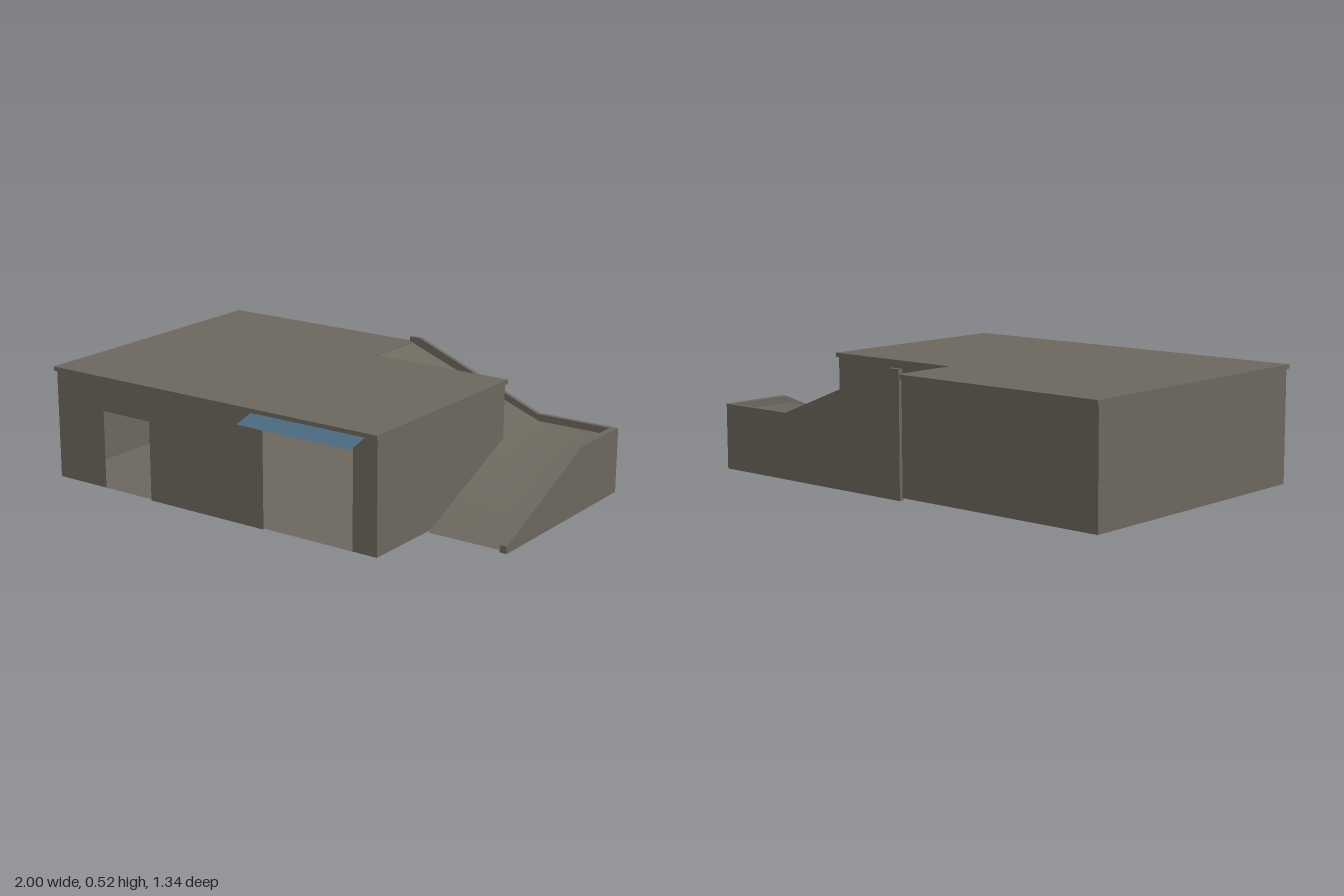
import * as THREE from 'three';

const H = 0.485, BASE = 0.01;

function shapeOf(points) {
  return new THREE.Shape(points.map(([x, y]) => new THREE.Vector2(x, y)));
}

// L-shaped plan with the back corner cut out for the ramp, as [x, z]
function plan(left, right, front, notchZ, notchX, back) {
  return [[left, front], [right, front], [right, notchZ], [notchX, notchZ], [notchX, back], [left, back]];
}

function quadGrid(vertices, index) {
  const geo = new THREE.BufferGeometry();
  geo.setAttribute('position', new THREE.Float32BufferAttribute(vertices.flat(), 3));
  geo.setIndex(index);
  geo.computeVertexNormals();
  return geo;
}

export function createModel() {
  const group = new THREE.Group();
  const concrete = new THREE.MeshStandardMaterial({ color: 0x6e695f, side: THREE.DoubleSide });
  concrete.name = 'concrete';
  const blue = new THREE.MeshStandardMaterial({ color: 0x4b6b80, side: THREE.DoubleSide });
  blue.name = 'awningBlue';

  function add(name, geo, mat = concrete) {
    const mesh = new THREE.Mesh(geo, mat);
    mesh.name = name;
    group.add(mesh);
    return mesh;
  }

  // Thin hollow shell: every wall of the plan except the front
  const walls = plan(-0.997, 0.637, 0.557, -0.36, -0.025, -0.66);
  for (let i = 1; i < walls.length; i++) {
    const [x1, z1] = walls[i], [x2, z2] = walls[(i + 1) % walls.length];
    const geo = new THREE.PlaneGeometry(Math.hypot(x2 - x1, z2 - z1), H - BASE);
    geo.rotateY(-Math.atan2(z2 - z1, x2 - x1) + Math.PI);
    geo.translate((x1 + x2) / 2, (H + BASE) / 2, (z1 + z2) / 2);
    add('wall' + i, geo);
  }

  // Front wall with door and garage openings
  add('frontWall', new THREE.ShapeGeometry(shapeOf([
    [-0.997, BASE], [-0.74, BASE], [-0.74, 0.345], [-0.49, 0.345], [-0.49, 0.005],
    [0.095, 0.005], [0.095, 0.43], [0.525, 0.43], [0.525, BASE], [0.637, BASE],
    [0.637, H], [-0.997, H],
  ]))).position.z = 0.557;

  // Floor and overhanging roof slab
  const flip = ([x, z]) => [x, -z];
  const floor = add('floor', new THREE.ShapeGeometry(shapeOf(walls.map(flip))));
  floor.rotation.x = -Math.PI / 2;
  floor.position.y = BASE;
  const roof = add('roof', new THREE.ExtrudeGeometry(
    shapeOf(plan(-1, 0.645, 0.573, -0.37, -0.01, -0.67).map(flip)),
    { depth: 0.018, bevelEnabled: false }));
  roof.rotation.x = -Math.PI / 2;
  roof.position.y = 0.481;

  // Ramp: down from the roof, round the landing, down to the ground
  const inner = -0.36, outer = -0.66, low = 0.25;
  add('ramp', quadGrid([
    [-0.015, 0.497, outer], [-0.015, 0.497, inner],
    [0.637, low, outer], [0.637, low, inner],
    [0.975, low, outer], [0.975, low, inner],
    [0.637, 0.004, 0.2], [0.975, 0.004, 0.2],
  ], [0, 1, 3, 0, 3, 2, 2, 3, 5, 2, 5, 4, 3, 6, 7, 3, 7, 5]));

  // Parapet walls along the back and the outer side of the ramp
  const back = add('rampBackWall', new THREE.ExtrudeGeometry(shapeOf([
    [-0.025, 0], [1, 0], [1, 0.28], [0.63, 0.28], [0.03, 0.52], [-0.025, 0.52],
  ]), { depth: 0.02, bevelEnabled: false }));
  back.position.z = -0.675;
  const side = new THREE.ExtrudeGeometry(shapeOf([
    [-0.656, 0], [0.213, 0], [0.213, 0.03], [-0.36, 0.28], [-0.656, 0.28],
  ]), { depth: 0.03, bevelEnabled: false });
  side.rotateY(-Math.PI / 2);
  side.translate(1, 0, 0);
  add('rampSideWall', side);

  // Sloping awning over the garage opening
  add('awning', quadGrid([
    [0.05, 0.485, 0.56], [0.59, 0.485, 0.56], [0.05, 0.457, 0.662], [0.59, 0.457, 0.668],
  ], [0, 2, 3, 0, 3, 1]), blue);

  return group;
}
